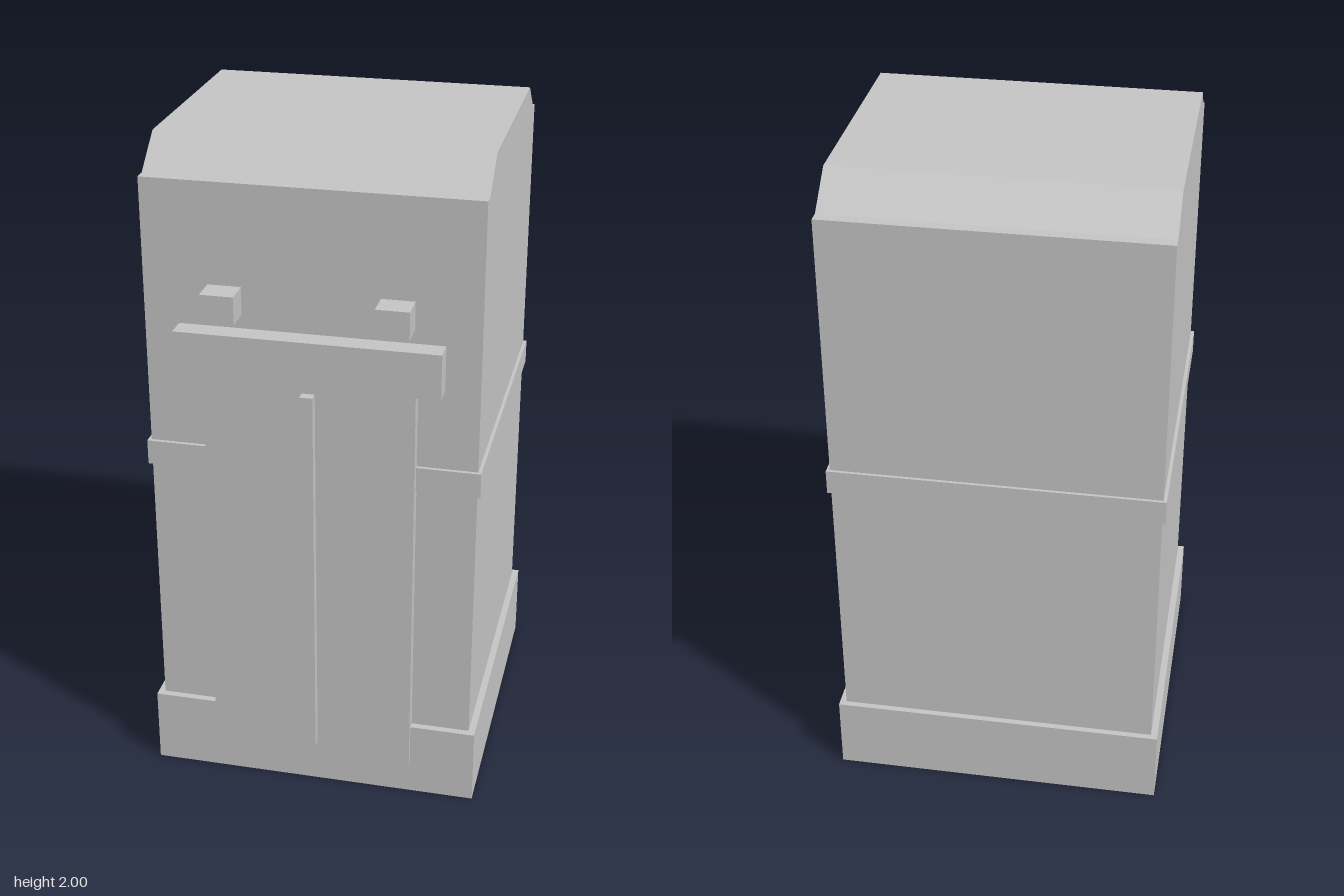
import * as THREE from 'three';

export function createModel() {
  const model = new THREE.Group();
  const grey = new THREE.MeshStandardMaterial({ color: 0xc4c4c4 });
  grey.name = 'grey';

  // Box given by its lower and upper limits on each axis
  function box(name, [x0, x1], [y0, y1], [z0, z1]) {
    const geometry = new THREE.BoxGeometry(x1 - x0, y1 - y0, z1 - z0);
    const mesh = new THREE.Mesh(geometry, grey);
    mesh.position.set((x0 + x1) / 2, (y0 + y1) / 2, (z0 + z1) / 2);
    mesh.name = name;
    model.add(mesh);
  }

  const back = -0.51;
  const front = 0.448;

  // Main tower and the plinth and belt that wrap it
  box('body', [-0.48, 0.48], [0, 1.91], [back, front]);
  box('plinth', [-0.5, 0.5], [0, 0.235], [-0.528, 0.469]);
  box('belt', [-0.49, 0.49], [1.04, 1.115], [-0.519, 0.459]);

  // Roof cap with sloped front and back, set in slightly from the walls
  const profile = new THREE.Shape([
    [-0.475, 1.91], [0.412, 1.91], [0.306, 2], [-0.367, 2],
  ].map(([z, y]) => new THREE.Vector2(-z, y)).reverse());
  const roofGeometry = new THREE.ExtrudeGeometry(profile, { depth: 0.96, bevelEnabled: false });
  roofGeometry.translate(0, 0, -0.48).rotateY(Math.PI / 2);
  const roof = new THREE.Mesh(roofGeometry, grey);
  roof.name = 'roof';
  model.add(roof);

  // Door panel, central strip and lintel
  box('door', [-0.305, 0.305], [0.1, 1.355], [front - 0.02, 0.485]);
  box('doorStrip', [-0.019, 0.019], [0.15, 1.325], [0.48, 0.513]);
  box('lintel', [-0.38, 0.38], [1.355, 1.49], [front - 0.02, 0.512]);

  // Pair of small lamps above the lintel
  for (const [name, x] of [['leftLamp', 0.245], ['rightLamp', -0.245]]) {
    box(name, [x - 0.048, x + 0.048], [1.53, 1.613], [front - 0.02, 0.528]);
  }

  return model;
}
